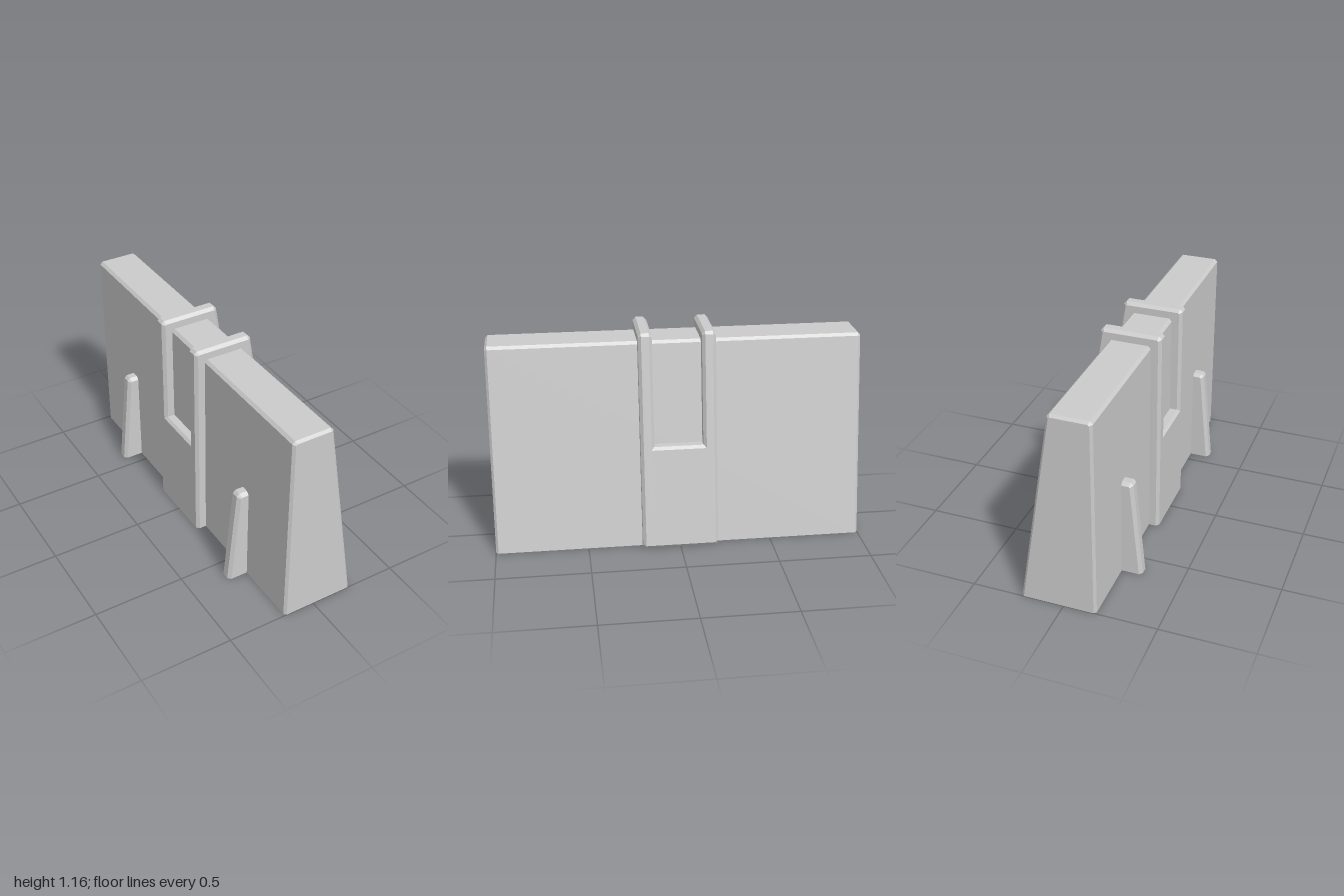
import * as THREE from 'three';

// Inset a convex counter-clockwise outline by d; edges on the ground stay put.
function inset(points, d) {
  const lines = points.map(([x, y], i) => {
    const [x2, y2] = points[(i + 1) % points.length];
    const len = Math.hypot(x2 - x, y2 - y);
    const nx = -(y2 - y) / len, ny = (x2 - x) / len;
    const shift = y === 0 && y2 === 0 ? 0 : d;
    return { nx, ny, c: nx * x + ny * y + shift };
  });
  return points.map((_, i) => {
    const a = lines[(i + points.length - 1) % points.length], b = lines[i];
    const det = a.nx * b.ny - a.ny * b.nx;
    return [(a.c * b.ny - b.c * a.ny) / det, (a.nx * b.c - b.nx * a.c) / det];
  });
}

// Closed prism along z with bevelled end caps (bevel 0 gives plain ends).
function prism(outline, z0, z1, bevel) {
  const small = inset(outline, bevel);
  const rings = bevel > 0
    ? [[small, z0], [outline, z0 + bevel], [outline, z1 - bevel], [small, z1]]
    : [[outline, z0], [outline, z1]];
  const pos = [];
  const n = outline.length;
  const put = (r, i) => pos.push(...rings[r][0][i % n], rings[r][1]);
  for (let r = 0; r < rings.length - 1; r++) {
    for (let i = 0; i < n; i++) {
      put(r, i); put(r, i + 1); put(r + 1, i + 1);
      put(r, i); put(r + 1, i + 1); put(r + 1, i);
    }
  }
  const last = rings.length - 1;
  for (let i = 1; i < n - 1; i++) {
    put(0, 0); put(0, i + 1); put(0, i);
    put(last, 0); put(last, i); put(last, i + 1);
  }
  const geometry = new THREE.BufferGeometry();
  geometry.setAttribute('position', new THREE.Float32BufferAttribute(pos, 3));
  geometry.computeVertexNormals();
  return geometry;
}

export function createModel() {
  const group = new THREE.Group();
  group.name = 'barrierWall';
  const material = new THREE.MeshStandardMaterial({ color: 0xcccccc, flatShading: true });
  const add = (name, geometry) => {
    const mesh = new THREE.Mesh(geometry, material);
    mesh.name = name;
    group.add(mesh);
  };

  // Long wall: upright back, sloping face, chamfered top edges
  add('wall', prism([
    [-0.175, 0], [0.232, 0], [0.053, 1.095], [0.038, 1.11], [-0.16, 1.11], [-0.175, 1.095],
  ], -1, 1, 0.013));

  // Pair of raised ribs wrapping the middle of the wall
  const ribOutline = [
    [-0.23, 0], [0.27, 0], [0.285, 0.02], [0.1, 1.15],
    [0.085, 1.165], [-0.215, 1.165], [-0.23, 1.15],
  ];
  const bevel = 0.016;
  const inner = 0.132, outer = 0.206;
  add('ribFront', prism(ribOutline, inner, outer, bevel));
  add('ribBack', prism(ribOutline, -outer, -inner, bevel));

  // Lower panel joining the ribs, flush with them, chamfered along its top
  const panelTop = 0.56, chamfer = 0.014;
  const slopeX = (y) => 0.285 + (y - 0.02) * (0.1 - 0.285) / 1.13;
  add('bandPanel', prism([
    [-0.23, 0], [0.27, 0], [0.285, 0.02],
    [slopeX(panelTop - chamfer), panelTop - chamfer], [slopeX(panelTop) - chamfer, panelTop],
    [-0.23 + chamfer, panelTop], [-0.23, panelTop - chamfer],
  ], -inner - bevel, inner + bevel, 0));

  // Two tapered buttresses on the upright side
  const buttressOutline = [
    [-0.287, 0], [-0.1, 0], [-0.1, 0.555], [-0.22, 0.555], [-0.235, 0.54],
  ];
  for (const [name, z] of [['buttressFront', 0.6], ['buttressBack', -0.6]]) {
    add(name, prism(buttressOutline, z - 0.036, z + 0.036, 0.017));
  }

  return group;
}
